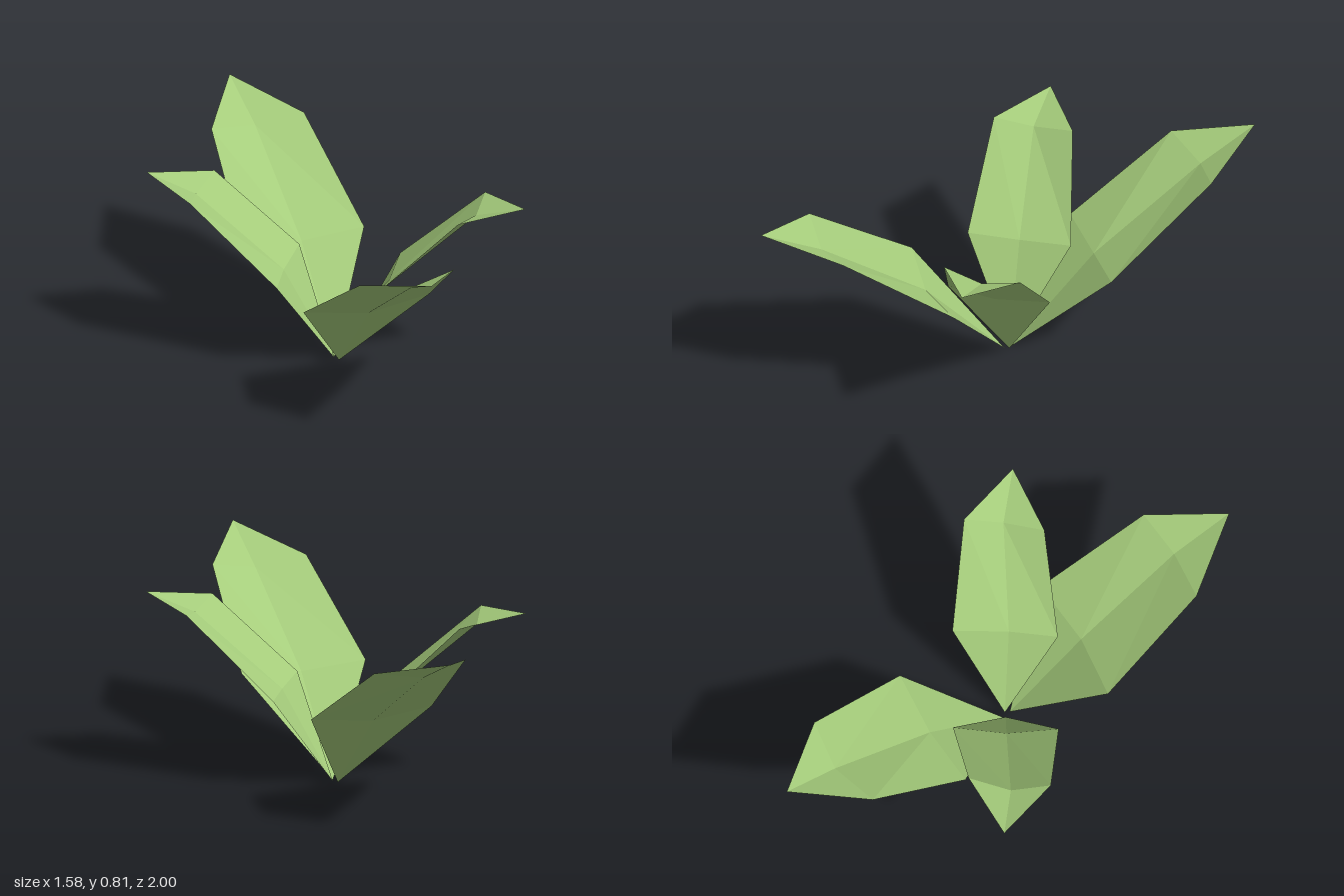
import * as THREE from 'three';

// Each leaf: base, a lower and an upper row of (one edge, rib, other edge), tip
const LEAVES = {
  frontLeaf: {
    base: [0.01, 0, 0.01],
    lower: [[-0.12, 0.4, 0.4], [0.145, 0.37, 0.33], [0.39, 0.4, 0.2]],
    upper: [[0.13, 0.725, 0.81], [0.34, 0.69, 0.75], [0.515, 0.73, 0.65]],
    tip: [0.435, 0.815, 0.995],
  },
  backLeaf: {
    base: [-0.01, 0, -0.02],
    lower: [[0.095, 0.4, -0.435], [-0.16, 0.37, -0.35], [-0.4, 0.4, -0.24]],
    upper: [[-0.17, 0.725, -0.835], [-0.37, 0.69, -0.78], [-0.545, 0.73, -0.65]],
    tip: [-0.485, 0.815, -1],
  },
  leftLeaf: {
    base: [0.01, 0, -0.01],
    lower: [[0.16, 0.4, 0.235], [0.22, 0.385, 0.04], [0.255, 0.4, -0.19]],
    upper: [[0.51, 0.735, 0.235], [0.58, 0.705, 0.075], [0.61, 0.735, -0.085]],
    tip: [0.785, 0.77, 0.147],
  },
  rightLeaf: {
    base: [-0.01, 0, -0.01],
    lower: [[-0.165, 0.4, -0.255], [-0.22, 0.385, -0.04], [-0.24, 0.4, 0.175]],
    upper: [[-0.515, 0.735, -0.245], [-0.585, 0.705, -0.08], [-0.6, 0.735, 0.085]],
    tip: [-0.79, 0.77, -0.14],
  },
};

// Faceted blade folded along its rib, inner side facing up
function leafGeometry({ base, lower, upper, tip }) {
  const points = [];
  for (let i = 0; i < 2; i++) {
    points.push(base, lower[i], lower[i + 1]);
    points.push(lower[i], upper[i], upper[i + 1]);
    points.push(lower[i], upper[i + 1], lower[i + 1]);
    points.push(upper[i], tip, upper[i + 1]);
  }
  const geometry = new THREE.BufferGeometry();
  geometry.setAttribute('position', new THREE.Float32BufferAttribute(points.flat(), 3));
  geometry.computeVertexNormals();
  return geometry;
}

export function createModel() {
  const leafGreen = new THREE.MeshStandardMaterial({
    color: 0xa5cc7b, flatShading: true, side: THREE.DoubleSide,
  });
  leafGreen.name = 'leaf green';

  const plant = new THREE.Group();
  plant.name = 'plant';
  for (const [name, shape] of Object.entries(LEAVES)) {
    const leaf = new THREE.Mesh(leafGeometry(shape), leafGreen);
    leaf.name = name;
    plant.add(leaf);
  }
  return plant;
}
